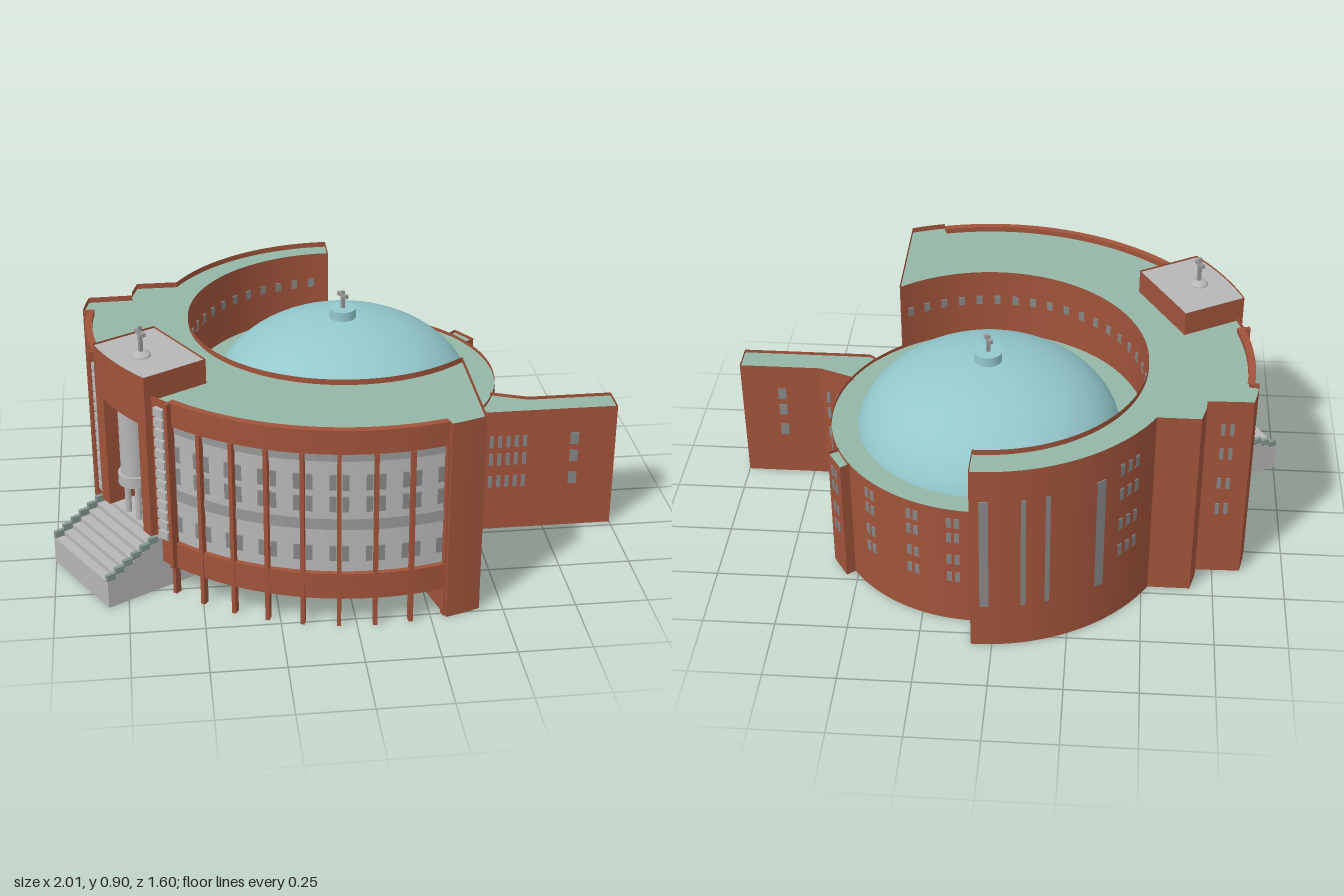
import * as THREE from 'three';
import { toCreasedNormals } from 'three/addons/utils/BufferGeometryUtils.js';

const mat = (name, color, side = THREE.DoubleSide) => {
  const m = new THREE.MeshStandardMaterial({ color, side });
  m.name = name;
  return m;
};
const brick = mat('brick', 0xa0533a), roofGreen = mat('roof green', 0x93b5a5), domeBlue = mat('dome blue', 0x93c8cd),
  stone = mat('pale stone', 0xb6b6b6), glass = mat('window grey', 0x858585), band = mat('band grey', 0x989898),
  floorGrey = mat('floor grey', 0x6a6a6a), railing = mat('railing grey', 0x84958f), darkBrick = mat('dark brick', 0x5c2c1e);

const rad = THREE.MathUtils.degToRad;
// Angles are in degrees, measured from the front (+z) towards the model's left (+x)
const polar = (r, a) => [r * Math.sin(rad(a)), r * Math.cos(rad(a))];
function arc(r, a0, a1) {
  const n = Math.max(1, Math.ceil(Math.abs(a1 - a0) / 2.5));
  return Array.from({ length: n + 1 }, (_, i) => polar(r, a0 + (a1 - a0) * i / n));
}

function add(parent, name, geo, material, x = 0, y = 0, z = 0, ry = 0) {
  const m = new THREE.Mesh(geo, material);
  m.name = name;
  m.position.set(x, y, z);
  m.rotation.y = ry;
  parent.add(m);
  return m;
}
const box = (parent, name, material, w, h, d, x, y, z, ry = 0) =>
  add(parent, name, new THREE.BoxGeometry(w, h, d), material, x, y, z, ry);

// Upright thin wall along a plan polyline
function wall(parent, name, pts, y0, y1, material = brick) {
  const pos = [], idx = [];
  pts.forEach(([x, z]) => pos.push(x, y0, z, x, y1, z));
  for (let i = 0; i < pts.length - 1; i++) {
    const a = i * 2;
    idx.push(a, a + 2, a + 1, a + 1, a + 2, a + 3);
  }
  const g = new THREE.BufferGeometry();
  g.setAttribute('position', new THREE.Float32BufferAttribute(pos, 3));
  g.setIndex(idx);
  add(parent, name, toCreasedNormals(g, 0.3), material);
}

// Horizontal plate with a plan outline
function slab(parent, name, pts, y, material) {
  const g = new THREE.ShapeGeometry(new THREE.Shape(pts.map(([x, z]) => new THREE.Vector2(x, -z))));
  g.rotateX(-Math.PI / 2);
  add(parent, name, g, material, 0, y, 0);
}

// Solid curved bar with a rectangular section
function bar(parent, name, r0, r1, y0, y1, a0, a1, material) {
  const section = [[r1, y0], [r1, y1], [r0, y1], [r0, y0], [r1, y0]].map(p => new THREE.Vector2(...p));
  const g = new THREE.LatheGeometry(section, Math.max(1, Math.ceil((a1 - a0) / 2.5)), rad(a0), rad(a1 - a0));
  add(parent, name, toCreasedNormals(g, 0.5), material);
}

function cross(parent, x, y, z, h, ry) {
  const g = new THREE.Group();
  g.name = 'roofCross';
  g.position.set(x, y, z);
  g.rotation.y = ry;
  parent.add(g);
  box(g, 'crossPost', band, 0.012, h, 0.012, 0, h / 2, 0);
  box(g, 'crossArm', band, 0.052, 0.013, 0.012, 0, h * 0.76, 0);
}

function curtainWall(parent, a0, a1) {
  const g = new THREE.Group();
  g.name = 'curtainWall';
  parent.add(g);
  wall(g, 'panels', arc(0.902, a0, a1), 0.2, 0.645, stone);
  bar(g, 'sill', 0.895, 0.92, 0.105, 0.2, a0, a1, brick);
  bar(g, 'lintel', 0.895, 0.92, 0.645, 0.73, a0, a1, brick);
  bar(g, 'middleBand', 0.9, 0.906, 0.36, 0.4, a0, a1, band);
  bar(g, 'topBand', 0.9, 0.906, 0.612, 0.645, a0, a1, band);
  for (let a = a0; a <= a1 + 0.1; a += 7.5) {
    const [x, z] = polar(0.912, a);
    box(g, 'pilaster', brick, 0.014, 0.645, 0.024, x, 0.3225, z, rad(a));
    for (const s of [-1.3, 1.3]) {
      if (a + s < a0 || a + s > a1) continue;
      for (const y of [0.27, 0.455, 0.535])
        bar(g, 'smallPane', 0.9, 0.907, y - 0.028, y + 0.028, a + s - 0.7, a + s + 0.7, glass);
    }
  }
}

function buildHighWing(parent) {
  const rightEnd = [polar(0.935, 15), ...arc(0.935, 15, 22.7), [0.36, 0.43], polar(0.555, 40)];
  const backLeft = [...arc(0.935, -97, -104), [-0.75, -0.23], [-0.75, -0.26], [-0.73, -0.335], [-0.585, -0.335],
    ...arc(0.672, -120, -181), polar(0.555, -181)];
  const outline = [...arc(0.555, -181, 40), ...rightEnd.slice(1).reverse(), ...arc(0.92, 15, -97), ...backLeft];
  slab(parent, 'highRoof', outline, 0.71, roofGreen);
  slab(parent, 'soffit', outline, 0.106, floorGrey);
  wall(parent, 'endBlockWall', rightEnd, 0, 0.73);
  wall(parent, 'backWall', backLeft, 0, 0.73);
  wall(parent, 'innerWall', arc(0.555, -181, 40), 0.44, 0.73);
  for (const a of [15, -97]) {
    wall(parent, 'blockReturn', [polar(0.9, a), polar(0.935, a)], 0, 0.73);
    wall(parent, 'underBlockWall', [polar(0.555, a), polar(0.935, a)], 0, 0.106);
  }
  for (const [a, b] of [[-75, -69], [-51, -45]]) wall(parent, 'towerSideWall', arc(0.92, a, b), 0.105, 0.73);
  wall(parent, 'towerParapet', arc(0.92, -70, -50), 0.62, 0.73);
  curtainWall(parent, -45, 15);
  curtainWall(parent, -97.5, -75);

  // Row of small windows above the dome
  for (let a = -174; a < 38; a += 7) bar(parent, 'innerWindow', 0.55, 0.5555, 0.595, 0.628, a - 1.2, a + 1.2, glass);
  // Tall slots and small windows at the back
  for (const [a, w] of [[-177, 1.3], [-166, 0.7], [-159, 0.7], [-142.5, 1.5]])
    bar(parent, 'tallSlot', 0.668, 0.676, 0.17, 0.61, a - w, a + w, glass);
  for (const y of [0.28, 0.39, 0.515, 0.615]) {
    for (const a of [-135, -132, -129]) bar(parent, 'backWindow', 0.668, 0.676, y - 0.022, y + 0.022, a - 0.8, a + 0.8, glass);
    box(parent, 'endWindow', glass, 0.006, 0.044, 0.016, -0.01, y, -0.585);
    for (const x of [-0.84, -0.81]) box(parent, 'blockWindow', glass, 0.014, 0.044, 0.006, x, y, -0.23);
  }
  // Tall slots on the end block
  for (const z of [0.818, 0.715]) box(parent, 'endSlot', glass, 0.006, 0.44, 0.03, 0.36, 0.39, z);
  box(parent, 'endDoor', darkBrick, 0.006, 0.07, 0.034, 0.36, 0.135, 0.818);
}

function buildLowHall(parent) {
  const wing = [[0.51, 0.2], [0.64, 0.25], [0.94, 0.25], [0.94, 0.355], [0.47, 0.355], [0.44, 0.33]];
  const bump = [[0.45, -0.32], [0.48, -0.345], [0.535, -0.26], [0.5, -0.235]];
  wall(parent, 'drumWall', arc(0.555, 0, 360), 0, 0.475);
  slab(parent, 'hallRoof', arc(0.555, 0, 357.5), 0.462, roofGreen);
  slab(parent, 'hallFloor', arc(0.555, 0, 357.5), 0.003, floorGrey);
  for (const [name, pts] of [['sideWing', wing], ['wallBump', bump]]) {
    wall(parent, name + 'Wall', pts, 0, 0.475);
    slab(parent, name + 'Roof', pts, 0.463, roofGreen);
  }
  // Windows in groups around the drum, on the bump and along the wing
  for (const y of [0.19, 0.265, 0.358, 0.42]) {
    for (const a of [83, 98, 138, 157, 172])
      for (const s of [-1.4, 1.4]) bar(parent, 'drumWindow', 0.55, 0.559, y - 0.019, y + 0.019, a + s - 0.9, a + s + 0.9, glass);
    for (const s of [-0.014, 0.014])
      box(parent, 'bumpWindow', glass, 0.016, 0.038, 0.006, 0.5075 + s * 0.54, y, -0.3025 + s * 0.84, rad(123));
  }
  for (const y of [0.195, 0.285, 0.355]) {
    for (const z of [0.25, 0.355]) {
      box(parent, 'wingWindow', glass, 0.03, 0.046, 0.006, 0.79, y, z);
      if (z > 0.3) for (let i = 0; i < 5; i++) box(parent, 'wingWindow', glass, 0.014, 0.046, 0.006, 0.49 + i * 0.03, y, z);
    }
    for (const s of [-0.3, 0, 0.3])
      box(parent, 'slantWindow', glass, 0.014, 0.046, 0.006, 0.575 + s * 0.13, y, 0.225 + s * 0.05, -Math.atan2(0.05, 0.13));
    for (const z of [0.29, 0.33]) box(parent, 'wingEndWindow', glass, 0.006, 0.04, 0.014, 0.94, y, z);
  }
  // Shallow dome with a lantern and a cross
  const dome = add(parent, 'dome', new THREE.SphereGeometry(1, 48, 20, 0, Math.PI * 2, 0, Math.PI / 2), domeBlue, 0, 0.4, 0);
  dome.scale.set(0.472, 0.312, 0.472);
  add(parent, 'lantern', new THREE.CylinderGeometry(0.048, 0.048, 0.05, 32), domeBlue, 0, 0.72, 0);
  cross(parent, 0, 0.745, 0, 0.065, rad(-60));
}

// Entrance tower and stairs, in a frame whose z axis points outward
function buildEntrance(parent) {
  const g = new THREE.Group();
  g.name = 'entrance';
  g.rotation.y = rad(-60);
  parent.add(g);
  const plan = [[-0.163, 0.69], ...arc(0.945, -10, 10), [0.163, 0.69]];
  wall(g, 'towerWall', [...plan, plan[0]], 0.62, 0.8);
  slab(g, 'towerRoof', plan, 0.793, stone);
  slab(g, 'porchCeiling', plan, 0.621, brick);
  for (const s of [-1, 1]) {
    box(g, 'towerPier', brick, 0.05, 0.42, 0.125, s * 0.138, 0.41, 0.868);
    // Stacked stone blocks beside the tower
    const [x, z] = polar(0.922, s * 12.9);
    for (let i = 0; i < 13; i++) box(g, 'stoneBlock', stone, 0.042, 0.03, 0.026, x, 0.222 + i * 0.0385, z, rad(s * 12.9));
    const [fx, fz] = polar(0.925, s * 15.4);
    box(g, 'fin', brick, 0.014, 0.62, 0.03, fx, 0.42, fz, rad(s * 15.4));
  }
  box(g, 'porchBackWall', brick, 0.24, 0.42, 0.01, 0, 0.41, 0.815);
  box(g, 'door', glass, 0.12, 0.12, 0.008, 0, 0.26, 0.822);
  add(g, 'bay', new THREE.CylinderGeometry(0.05, 0.05, 0.25, 32), stone, 0, 0.495, 0.885);
  add(g, 'balcony', new THREE.CylinderGeometry(0.06, 0.06, 0.04, 32), stone, 0, 0.35, 0.885);
  for (const x of [-0.035, 0.035]) add(g, 'porchColumn', new THREE.CylinderGeometry(0.011, 0.011, 0.14, 16), stone, x, 0.265, 0.9);

  // Stairs on a plinth, with stepped side rails
  box(g, 'stairPlinth', stone, 0.37, 0.1, 0.34, 0, 0.05, 0.95);
  const rise = 0.1 / 6, run = 0.034;
  for (let i = 0; i < 6; i++) {
    const end = 1.12 - run * (i + 1), y = 0.1 + rise * (i + 0.5);
    box(g, 'step', stone, 0.37, rise, end - 0.8, 0, y, (end + 0.8) / 2);
    for (const s of [-1, 1]) box(g, 'sideRail', railing, 0.014, 0.024, run, s * 0.177, y + 0.004, end + run / 2);
  }
  add(g, 'crossBase', new THREE.SphereGeometry(0.034, 24, 8, 0, Math.PI * 2, 0, Math.PI / 2), stone, 0, 0.793, 0.84).scale.y = 0.5;
  cross(g, 0, 0.8, 0.84, 0.1, 0);
}

export function createModel() {
  const model = new THREE.Group();
  model.name = 'domedBuilding';
  const body = new THREE.Group();
  body.name = 'building';
  body.position.set(0.06, 0, -0.13);
  model.add(body);
  buildHighWing(body);
  buildLowHall(body);
  buildEntrance(body);
  return model;
}
